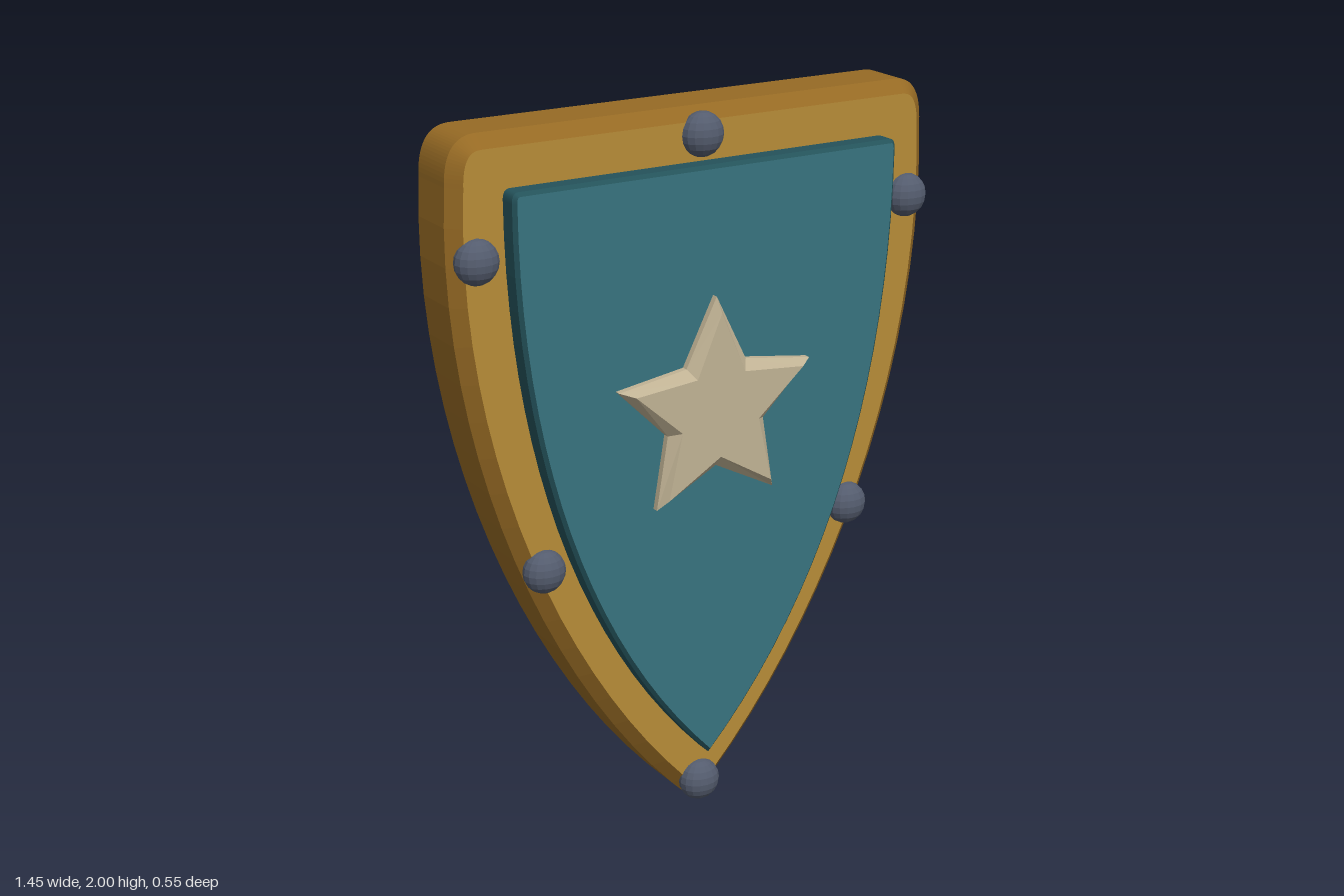
import * as THREE from 'three';

const mat = (name, color, extra = {}) => {
  const m = new THREE.MeshStandardMaterial({ color, ...extra });
  m.name = name;
  return m;
};

// Heater outline: flat top with rounded corners, curved sides meeting in a point.
// w: half width, top/bottom: y limits, r: corner radius, c1/c2: side curve handles
function heater(w, top, bottom, r, c1, c2) {
  const s = new THREE.Shape();
  s.moveTo(0, bottom);
  s.bezierCurveTo(c2[0], c2[1], c1[0], c1[1], w, top - r * 1.4);
  s.quadraticCurveTo(w, top, w - r, top);
  s.lineTo(-w + r, top);
  s.quadraticCurveTo(-w, top, -w, top - r * 1.4);
  s.bezierCurveTo(-c1[0], c1[1], -c2[0], c2[1], 0, bottom);
  return s;
}

// Chamfered plate spanning z0..z1
function plate(shape, z0, z1, bevel, offset) {
  const g = new THREE.ExtrudeGeometry(shape, {
    depth: z1 - z0 - 2 * bevel,
    bevelThickness: bevel,
    bevelSize: bevel,
    bevelOffset: offset,
    bevelSegments: 1,
    curveSegments: 20,
  });
  return g.translate(0, 0, z0 + bevel);
}

export function createModel() {
  const group = new THREE.Group();
  const gold = mat('gold face', 0xb68c37);
  const goldEdge = mat('gold edge', 0x966a24);
  const teal = mat('teal face', 0x37737e);
  const tealEdge = mat('teal edge', 0x24525a);
  const ivory = mat('ivory', 0xc0b294);
  const steel = mat('steel', 0x545c6e, { flatShading: true });
  const leather = mat('dark leather', 0x33263a, { flatShading: true });

  const add = (name, geometry, material) => {
    const mesh = new THREE.Mesh(geometry, material);
    mesh.name = name;
    group.add(mesh);
    return mesh;
  };

  // Body with chamfered rim
  const outer = heater(0.72, 2, 0, 0.09, [0.765, 1.2], [0.46, 0.44]);
  add('body', plate(outer, -0.04, 0.172, 0.035, -0.035), [gold, goldEdge]);

  // Raised front panel
  const inner = heater(0.578, 1.86, 0.185, 0.02, [0.58, 1.2], [0.4, 0.6]);
  add('frontPanel', plate(inner, 0.14, 0.23, 0.01, -0.01), [teal, tealEdge]);

  // Star emblem
  const star = new THREE.Shape();
  for (let i = 0; i < 10; i++) {
    const r = i % 2 ? 0.125 : 0.272;
    const a = Math.PI / 2 + (i * Math.PI) / 5;
    star[i ? 'lineTo' : 'moveTo'](r * Math.cos(a), 1.205 + r * Math.sin(a));
  }
  star.closePath();
  add('star', plate(star, 0.2, 0.275, 0.027, 0), ivory);

  // Rivets around the rim
  const rivet = new THREE.SphereGeometry(0.06, 16, 10);
  const spots = [[0, 1.93], [0, 0.08]];
  for (const s of [-1, 1]) spots.push([s * 0.655, 1.685], [s * 0.482, 0.82]);
  for (const [x, y] of spots) {
    const m = add('rivet', rivet, steel);
    m.position.set(x, y, 0.172);
    m.scale.z = 0.8;
  }

  // Curved grip on the back
  const arc = [];
  for (let i = 0; i <= 16; i++) {
    const a = (i / 16) * Math.PI;
    arc.push(new THREE.Vector3(0, 1.205 + 0.3 * Math.cos(a), -0.02 - 0.197 * Math.sin(a)));
  }
  add('grip', new THREE.TubeGeometry(new THREE.CatmullRomCurve3(arc), 28, 0.053, 8), leather);

  return group;
}
